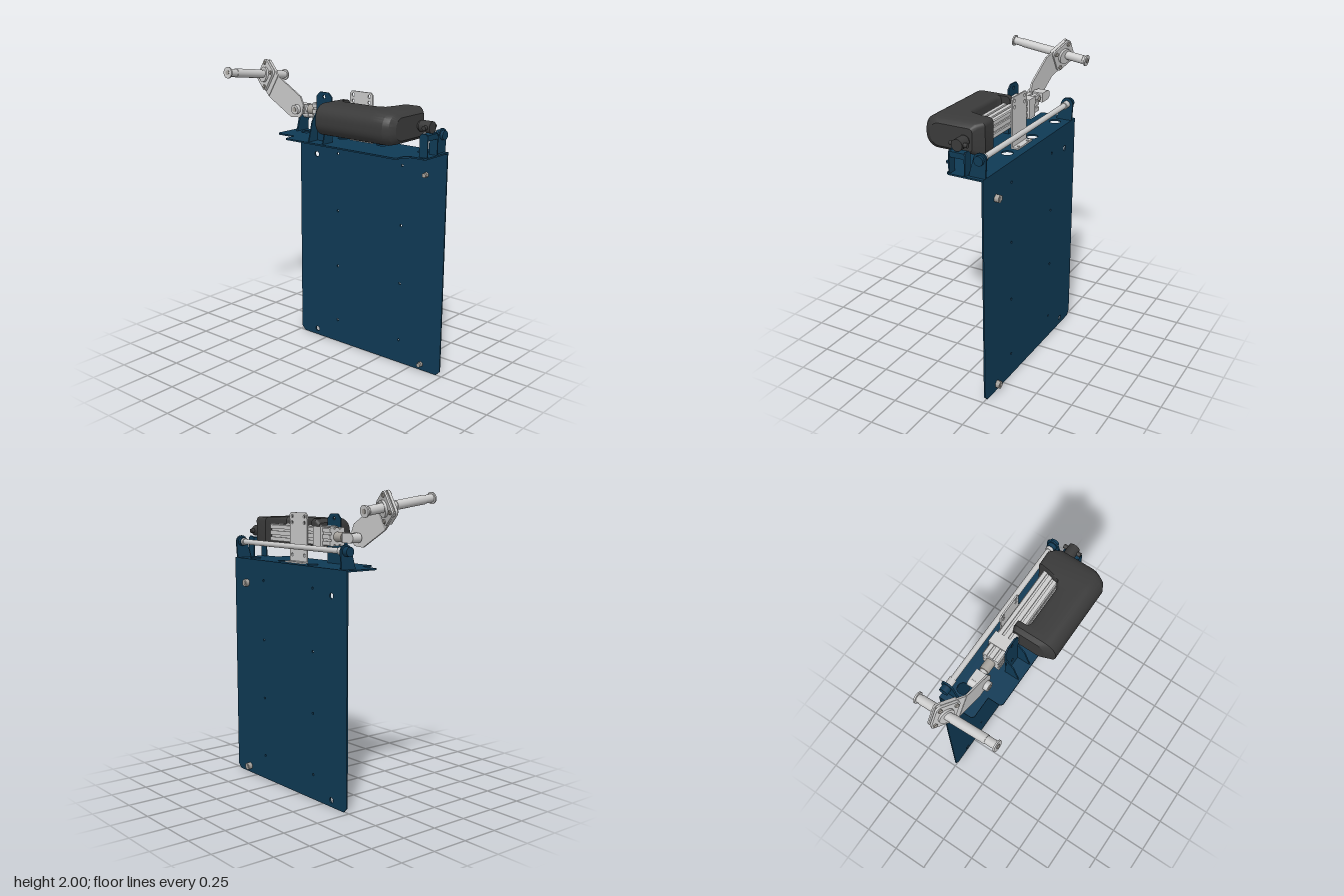
import * as THREE from 'three';
import { toCreasedNormals } from 'three/addons/utils/BufferGeometryUtils.js';

const mat = (color) => new THREE.MeshStandardMaterial({ color, side: THREE.DoubleSide });
const V = (x, y, z) => new THREE.Vector3(x, y, z);

export function createModel() {
  const model = new THREE.Group();
  const blue = mat(0x0f3a55), grey = mat(0xcccccc), dark = mat(0x3a3a3a), steel = mat(0xa8a49e);

  const add = (name, geo, material, parent = model) => {
    const mesh = new THREE.Mesh(geo, material);
    mesh.name = name;
    parent.add(mesh);
    return mesh;
  };
  const box = (name, w, h, d, x, y, z, m, p) =>
    add(name, new THREE.BoxGeometry(w, h, d).translate(x, y, z), m, p);
  // cylinder between two points
  const rod = (name, a, b, r, m, p, sides = 28) => {
    const dir = b.clone().sub(a);
    const mesh = add(name, new THREE.CylinderGeometry(r, r, dir.length(), sides), m, p);
    mesh.position.copy(a).add(b).multiplyScalar(0.5);
    mesh.quaternion.setFromUnitVectors(V(0, 1, 0), dir.normalize());
    return mesh;
  };
  // flat sheet from an outline with round holes [x, y, r], extruded along +z
  const sheet = (pts, holes, depth) => {
    const s = new THREE.Shape(pts.map((p) => new THREE.Vector2(p[0], p[1])));
    for (const [x, y, r] of holes) {
      const h = new THREE.Path();
      h.absarc(x, y, r, 0, Math.PI * 2, true);
      s.holes.push(h);
    }
    return new THREE.ExtrudeGeometry(s, { depth, bevelEnabled: false, curveSegments: 14 });
  };
  // sheet in the (z, y) plane, centred on x
  const sideSheet = (name, pts, holes, t, x, m) =>
    add(name, sheet(pts, holes, t).rotateY(-Math.PI / 2).translate(x + t / 2, 0, 0), m);
  const arc = (cx, cy, r, a0, a1, n = 12) => Array.from({ length: n + 1 }, (_, i) => {
    const a = a0 + (a1 - a0) * i / n;
    return [cx + r * Math.cos(a), cy + r * Math.sin(a)];
  });

  // back plate
  const plateHoles = [[-0.335, 1.355, 0.018], [-0.335, 0.045, 0.018]];
  for (const x of [-0.145, 0.395])
    for (const y of [0.165, 0.575, 0.98, 1.385]) plateHoles.push([x, y, 0.008]);
  add('backPlate', sheet([[-0.485, 0.03], [-0.455, 0], [0.705, 0], [0.735, 0.03], [0.735, 1.515],
    [-0.485, 1.515]], plateHoles, 0.01).translate(0, 0, -0.258), blue);

  // plate bolts
  for (const y of [0.045, 1.355]) {
    rod('boltShank', V(0.585, y, -0.29), V(0.585, y, -0.215), 0.014, steel);
    rod('boltHead', V(0.585, y, -0.287), V(0.585, y, -0.258), 0.026, steel, model, 6);
    rod('boltNut', V(0.585, y, -0.248), V(0.585, y, -0.23), 0.018, steel, model, 6);
  }

  // top shelf, outline in (x, z)
  add('shelf', sheet([[-0.485, -0.258], [0.735, -0.258], [0.735, -0.025], [0.72, -0.01], [0.63, -0.01],
    [0.59, 0.03], [0.59, 0.075], [0.575, 0.088], [-0.31, 0.088], [-0.325, 0.073], [-0.325, -0.01],
    [-0.47, -0.01], [-0.485, -0.025]],
  [-0.36, -0.035, 0.29, 0.61].map((x) => [x, -0.17, 0.037]), 0.01)
    .rotateX(Math.PI / 2).translate(0, 1.52, 0), blue);

  // guide rod with end sleeves, caps and brackets
  const [ry, rz] = [1.63, -0.225];
  rod('guideRod', V(-0.46, ry, rz), V(0.72, ry, rz), 0.018, grey);
  for (const [x0, x1] of [[-0.42, -0.375], [0.655, 0.7]])
    rod('rodSleeve', V(x0, ry, rz), V(x1, ry, rz), 0.024, grey);
  rod('rodCap', V(-0.475, ry, rz), V(-0.43, ry, rz), 0.03, blue);
  rod('rodCap', V(0.675, ry, rz), V(0.73, ry, rz), 0.03, blue);
  for (const x of [-0.43, 0.705])
    sideSheet('rodBracket', [[-0.26, 1.52], [-0.15, 1.52], ...arc(rz, ry, 0.042, 0.25, Math.PI)],
      [], 0.012, x, blue);

  // rear clevis bracket of the actuator
  for (const z of [-0.033, -0.138])
    add('clevisCheek', sheet([[0.675, 1.52], [0.735, 1.52], [0.735, 1.65], [0.72, 1.665], [0.69, 1.665],
      [0.675, 1.65]], [], 0.008).translate(0, 0, z - 0.004), blue);
  box('clevisWeb', 0.055, 0.035, 0.1, 0.705, 1.64, -0.085, blue);

  // tall front bracket with two gussets
  add('frontBracket', sheet([[-0.13, 1.52], [0, 1.52], [0, 1.81], [-0.03, 1.84], [-0.1, 1.84],
    [-0.13, 1.81]], [[-0.065, 1.81, 0.011], [-0.065, 1.595, 0.011]], 0.01).translate(0, 0, -0.02), blue);
  for (const x of [-0.125, -0.005])
    sideSheet('gusset', [[-0.015, 1.52], [0.075, 1.52], [0.04, 1.65], [-0.015, 1.72]], [], 0.008, x, blue);

  // rear angle bracket
  const angleHoles = [];
  for (const x of [0.06, 0.19])
    for (const y of [1.57, 1.78, 1.82]) angleHoles.push([x, y, 0.011]);
  add('rearBracket', sheet([[0.033, 1.52], [0.217, 1.52], [0.217, 1.83], [0.202, 1.845], [0.048, 1.845],
    [0.033, 1.83]], angleHoles, 0.01).translate(0, 0, -0.165), grey);
  add('rearBracketFoot', sheet([[0.033, -0.205], [0.217, -0.205], [0.217, -0.16], [0.033, -0.16]],
    [[0.065, -0.19, 0.009], [0.185, -0.19, 0.009]], 0.01).rotateX(Math.PI / 2).translate(0, 1.53, 0), grey);

  // grooved actuator tube, one side of the profile turned four times
  const [ay, az] = [1.70, -0.085];
  const side = [[0.058, -0.052], [0.058, -0.028], [0.048, -0.028], [0.048, -0.014], [0.058, -0.014],
    [0.058, 0.014], [0.048, 0.014], [0.048, 0.028], [0.058, 0.028], [0.058, 0.052]];
  const profile = [];
  for (let k = 0; k < 4; k++) {
    const c = Math.round(Math.cos(k * Math.PI / 2)), s = Math.round(Math.sin(k * Math.PI / 2));
    for (const [u, v] of side) profile.push([az + u * c - v * s, ay + u * s + v * c]);
  }
  sideSheet('actuatorTube', profile, [], 0.68, 0.16, grey);
  box('tubeCollar', 0.08, 0.126, 0.136, -0.06, ay, -0.088, grey);
  rod('tubeNose', V(-0.25, ay, az), V(-0.18, ay, az), 0.032, steel);
  rod('pistonRod', V(-0.29, ay, az), V(-0.24, ay, az), 0.024, grey);
  box('rodClevis', 0.07, 0.062, 0.072, -0.305, ay, az, grey);
  rod('rodClevisEnd', V(-0.345, ay, -0.121), V(-0.345, ay, -0.049), 0.03, grey);
  rod('pivotPin', V(-0.315, ay, -0.05), V(-0.315, ay, 0.0), 0.031, grey);
  rod('pivotBolt', V(-0.315, ay, -0.01), V(-0.315, ay, 0.005), 0.017, steel, model, 6);

  // motor housing lofted along x: [x, zBack, zFront, halfHeight]
  const stations = [[0.03, -0.07, 0.155, 0.075], [0.058, -0.08, 0.215, 0.1], [0.095, -0.08, 0.215, 0.1],
    [0.096, -0.02, 0.215, 0.1], [0.125, -0.005, 0.215, 0.1], [0.4, -0.005, 0.215, 0.1],
    [0.44, -0.03, 0.215, 0.1], [0.465, -0.11, 0.215, 0.1], [0.475, -0.18, 0.215, 0.1],
    [0.575, -0.183, 0.215, 0.1], [0.61, -0.155, 0.195, 0.092], [0.635, -0.13, 0.155, 0.07]];
  const pos = [], idx = [];
  let ring = 0;
  for (const [x, zb, zf, h] of stations) {
    const rf = h * 0.86, rb = Math.min(0.025, h * 0.3);
    const out = [...arc(zf - rf, h - rf, rf, 0, Math.PI / 2, 8), ...arc(zb + rb, h - rb, rb, Math.PI / 2, Math.PI, 4)];
    const full = [...out, ...out.slice().reverse().map(([z, y]) => [z, -y])];
    ring = full.length;
    for (const [z, y] of full) pos.push(x, ay + 0.003 + y, z);
  }
  for (let i = 0; i < stations.length - 1; i++)
    for (let j = 0; j < ring; j++) {
      const a = i * ring + j, b = i * ring + (j + 1) % ring;
      idx.push(a, b, a + ring, b, b + ring, a + ring);
    }
  const last = (stations.length - 1) * ring;
  for (let j = 1; j < ring - 1; j++) idx.push(0, j + 1, j, last, last + j, last + j + 1);
  // outline runs from +z to +y, so swap corners to face outward
  for (let i = 0; i < idx.length; i += 3) [idx[i + 1], idx[i + 2]] = [idx[i + 2], idx[i + 1]];
  const loft = new THREE.BufferGeometry();
  loft.setAttribute('position', new THREE.Float32BufferAttribute(pos, 3));
  loft.setIndex(idx);
  add('motorHousing', toCreasedNormals(loft, 0.5), dark);
  rod('motorNeck', V(0.62, ay, az), V(0.67, ay, az), 0.028, dark);
  rod('rearClevisEnd', V(0.65, ay, az), V(0.73, ay, az), 0.037, dark);
  rod('rearPin', V(0.705, ay, -0.145), V(0.705, ay, -0.025), 0.014, dark);

  // lever arm: flat plate, bent towards a flange at its far end
  const arm = new THREE.Group();
  arm.name = 'leverArm';
  arm.position.set(-0.315, ay, -0.04);
  arm.rotation.z = -0.54;
  model.add(arm);
  add('armPlate', sheet([[-0.25, -0.084], [-0.02, -0.08], [0.045, -0.035], [0.05, 0.0], [0.03, 0.055],
    [-0.02, 0.088], [-0.25, 0.086]], [], 0.012), grey, arm);
  const head = new THREE.Group();
  head.name = 'flange';
  head.position.set(-0.25, 0, 0);
  head.rotation.y = -0.37;
  arm.add(head);
  add('armTongue', sheet([[-0.2, -0.07], [-0.18, -0.084], [0, -0.084], [0, 0.086], [-0.18, 0.086],
    [-0.2, 0.07]], [], 0.012), grey, head);
  const q = Math.PI / 2, fx = -0.13, c = 0.058;
  const corners = [[1, 1], [-1, 1], [-1, -1], [1, -1]];
  const square = corners.flatMap(([sx, sy], k) => arc(fx + sx * c, sy * c, 0.025, k * q, (k + 1) * q, 5));
  add('bearingPlate', sheet(square, [], 0.016).translate(0, 0, 0.012), grey, head);
  add('bearingPlateBack', sheet(square, [], 0.012).translate(0, 0, -0.012), grey, head);
  rod('bearingBoss', V(fx, 0, -0.028), V(fx, 0, 0.042), 0.052, grey, head);
  for (const [sx, sy] of corners)
    rod('flangeBolt', V(fx + sx * c, sy * c, -0.02), V(fx + sx * c, sy * c, 0.036), 0.014, steel, head, 6);

  // cross shaft with bands and end caps
  const at = (z) => V(-0.64, 1.91 + 0.128 * (z - 0.012), z);
  rod('crossShaft', at(-0.255), at(0.28), 0.026, grey);
  for (const [a, b, r] of [[-0.262, -0.252, 0.037], [0.278, 0.288, 0.037], [-0.235, -0.12, 0.029],
    [-0.02, 0.215, 0.029]]) rod('shaftBand', at(a), at(b), r, grey);
  for (const [a, b] of [[-0.266, -0.26], [0.286, 0.291]]) rod('shaftEnd', at(a), at(b), 0.015, steel);
  return model;
}
